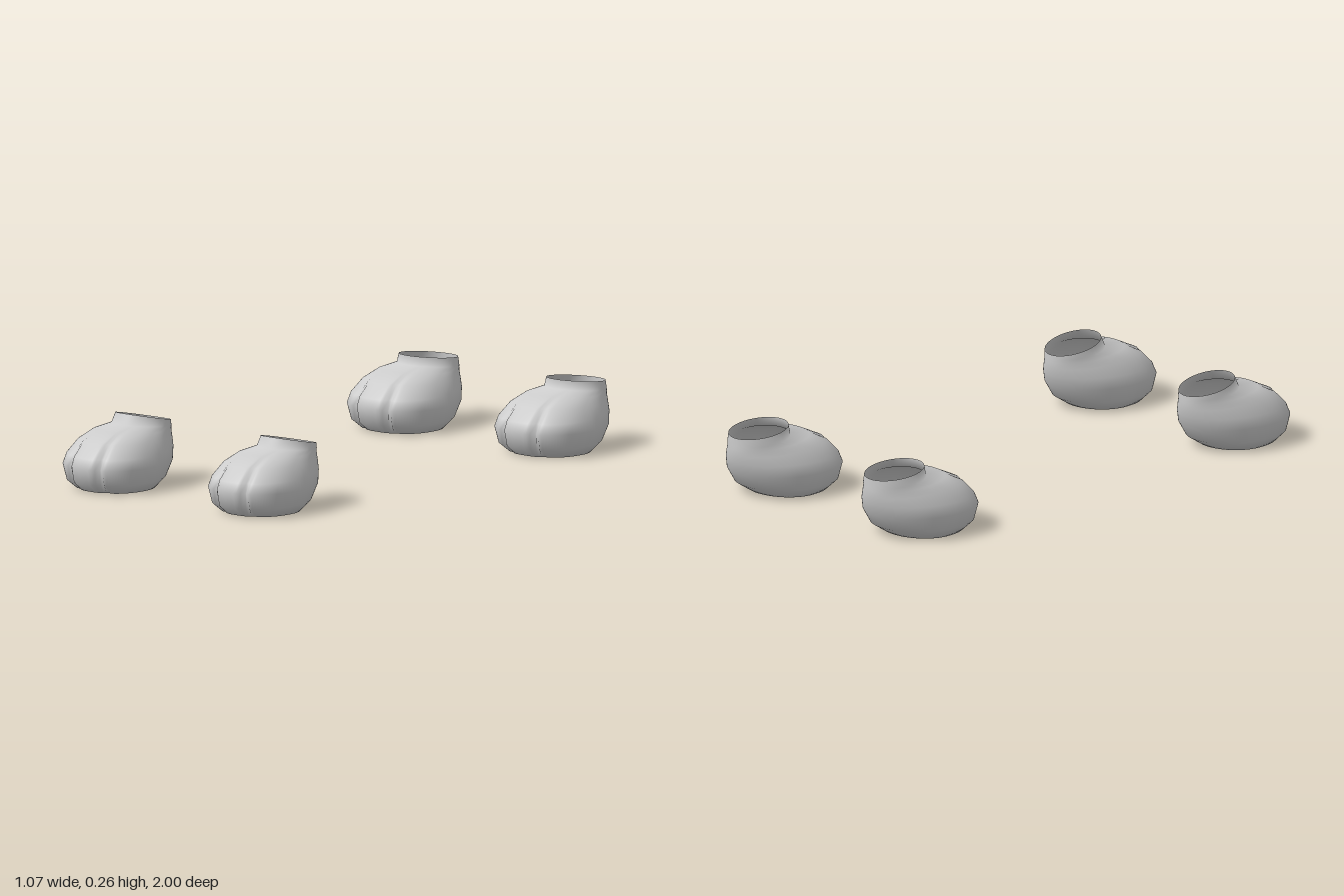
import * as THREE from 'three';

const SEGMENTS = 96;

// Cross-section rings from sole to ankle, z measured from the heel:
// [heel z, toe z, z of widest point, half width, y at heel, y at toe, toe groove strength]
const RINGS = [
  [0.115, 0.390, 0.24, 0.145, 0.000, 0.000, 0.6],
  [0.055, 0.430, 0.25, 0.174, 0.037, 0.032, 1.0],
  [0.020, 0.445, 0.25, 0.187, 0.090, 0.090, 1.0],
  [0.006, 0.430, 0.25, 0.176, 0.135, 0.125, 1.0],
  [0.001, 0.385, 0.22, 0.150, 0.165, 0.175, 0.7],
  [0.000, 0.315, 0.17, 0.125, 0.185, 0.208, 0.25],
  [0.000, 0.232, 0.12, 0.108, 0.200, 0.221, 0],
];

function pawGeometry(widthScale, rim) {
  const positions = [], indices = [];
  const rings = [...RINGS, rim];

  for (const [zb, zf, zw, hw, yb, yf, groove] of rings) {
    for (let i = 0; i < SEGMENTS; i++) {
      const a = (i / SEGMENTS) * Math.PI * 2;
      const s = Math.sin(a), c = Math.cos(a);
      // the toe half is squarer than the heel half
      const power = c > 0 && groove > 0 ? 2 / 2.4 : 1;
      const x = hw * widthScale * Math.sign(s) * Math.abs(s) ** power;
      const reach = c > 0 ? zf - zw : zw - zb;
      const z = zw + reach * Math.sign(c) * Math.abs(c) ** power;
      const y = yb + (yf - yb) * (z - zb) / (zf - zb);
      // two grooves split the front into three toes
      const off = Math.abs(Math.abs(x) - 0.073 * widthScale);
      const dent = c > 0 ? 0.02 * groove * Math.max(0, 1 - off / 0.018) : 0;
      positions.push(x, y, z - dent);
    }
  }

  // walls
  for (let r = 0; r < rings.length - 1; r++) {
    for (let i = 0; i < SEGMENTS; i++) {
      const j = (i + 1) % SEGMENTS;
      const a = r * SEGMENTS + i, b = r * SEGMENTS + j;
      indices.push(a, b, b + SEGMENTS, a, b + SEGMENTS, a + SEGMENTS);
    }
  }

  // sole
  const centre = positions.length / 3;
  positions.push(0, 0, 0.25);
  for (let i = 0; i < SEGMENTS; i++) indices.push(centre, (i + 1) % SEGMENTS, i);

  const geometry = new THREE.BufferGeometry();
  geometry.setAttribute('position', new THREE.Float32BufferAttribute(positions, 3));
  geometry.setIndex(indices);
  geometry.computeVertexNormals();
  return geometry;
}

export function createModel() {
  const group = new THREE.Group();
  const material = new THREE.MeshStandardMaterial({ color: 0xcccccc, side: THREE.DoubleSide });

  // open ankle rims differ slightly between the front and back paws
  const frontPaw = pawGeometry(0.92, [0, 0.215, 0.108, 0.100, 0.215, 0.26, 0]);
  const backPaw = pawGeometry(1, [0, 0.23, 0.115, 0.098, 0.23, 0.255, 0]);

  for (const [side, sign] of [['Left', 1], ['Right', -1]]) {
    const front = new THREE.Mesh(frontPaw, material);
    front.name = `front${side}Paw`;
    front.position.set(sign * 0.345, 0, 0.555);
    const back = new THREE.Mesh(backPaw, material);
    back.name = `back${side}Paw`;
    back.position.set(sign * 0.35, 0, -1);
    group.add(front, back);
  }
  return group;
}
